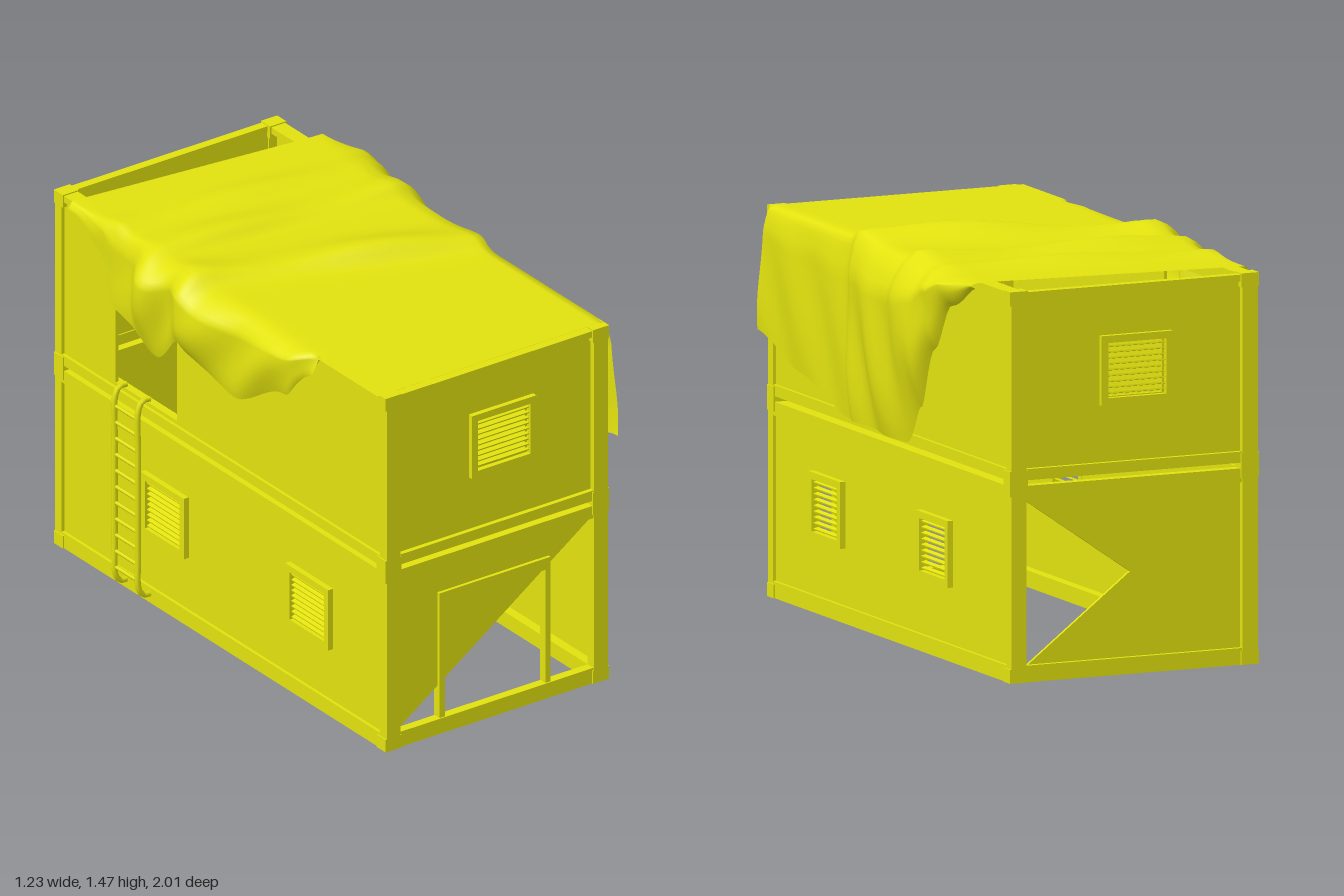
import * as THREE from 'three';

const mat = new THREE.MeshStandardMaterial({ color: 0xe2e20f, side: THREE.DoubleSide });
const XL = -0.5, XR = 0.465, XM = (XL + XR) / 2, W = XR - XL;

function add(parent, geo, name, x = 0, y = 0, z = 0) {
  const m = new THREE.Mesh(geo, mat);
  m.name = name;
  m.position.set(x, y, z);
  parent.add(m);
  return m;
}

// box given by its min and max corners
function block(parent, name, x0, x1, y0, y1, z0, z1) {
  return add(parent, new THREE.BoxGeometry(x1 - x0, y1 - y0, z1 - z0), name,
    (x0 + x1) / 2, (y0 + y1) / 2, (z0 + z1) / 2);
}

// thin sheet from an outline, with rectangular holes [a0, a1, b0, b1]
function panel(parent, name, outline, holes = []) {
  const shape = new THREE.Shape(outline.map(p => new THREE.Vector2(p[0], p[1])));
  for (const [a, b, c, d] of holes) {
    shape.holes.push(new THREE.Path([[a, c], [a, d], [b, d], [b, c]].map(p => new THREE.Vector2(p[0], p[1]))));
  }
  return add(parent, new THREE.ExtrudeGeometry(shape, { depth: 0.012, bevelEnabled: false }), name);
}

const rect = (a, b, c, d) => [[a, c], [b, c], [b, d], [a, d]];

// louvred window, centred on its own origin in the xy plane
function createWindow(w = 0.26, h = 0.24) {
  const g = new THREE.Group();
  g.name = 'window';
  const t = 0.026;
  for (const s of [-1, 1]) {
    add(g, new THREE.BoxGeometry(t, h, 0.035), 'windowJamb', s * (w - t) / 2);
    add(g, new THREE.BoxGeometry(w, t, 0.035), 'windowRail', 0, s * (h - t) / 2);
  }
  const n = 9;
  for (let i = 0; i < n; i++) {
    const slat = add(g, new THREE.BoxGeometry(w - 2 * t, 0.005, 0.018), 'louvre', 0, (i - (n - 1) / 2) * 0.021);
    slat.rotation.x = 0.25;
  }
  return g;
}

const holeOf = (a, b) => [a - 0.105, a + 0.105, b - 0.095, b + 0.095];

// steel frame: posts, beams and corner blocks
function createFrame(name, y0, y1, bottom, top) {
  const g = new THREE.Group();
  g.name = name;
  const t = 0.06;
  for (const x of [XL, XR - t]) {
    for (const z of [-1, 1 - 0.04]) {
      block(g, 'cornerPost', x, x + t, y0, y1, z, z + 0.04);
      for (const y of [y0, y1 - 0.05]) {
        block(g, 'cornerBlock', x - 0.005, x + t + 0.005, y, y + 0.05, z === -1 ? -1 : 0.945, z === -1 ? -0.945 : 1);
      }
    }
    block(g, 'sideBeam', x, x + t, bottom[0], bottom[1], -0.96, 0.96);
    block(g, 'sideBeam', x, x + t, top[0], top[1], -0.96, 0.96);
  }
  for (const z of [-0.995, 0.96]) {
    block(g, 'endBeam', XL + t, XR - t, bottom[0], bottom[1], z, z + 0.035);
    block(g, 'endBeam', XL + t, XR - t, top[0], top[1], z, z + 0.035);
  }
  return g;
}

// piecewise linear lookup with smoothing, table of [z, value]
function lookup(table, z) {
  if (z <= table[0][0]) return table[0][1];
  for (let i = 1; i < table.length; i++) {
    const [a, va] = table[i - 1], [b, vb] = table[i];
    if (z <= b) return va + (vb - va) * THREE.MathUtils.smoothstep(z, a, b);
  }
  return table[table.length - 1][1];
}

// folds crossing the roof on a slant: [z at x = 0, slope, height, front width, back width]
const FOLDS = [[0.06, 0.35, 0.055, 0.05, 0.14], [-0.32, 0.1, 0.04, 0.045, 0.12], [-0.55, 0.13, 0.03, 0.05, 0.1]];
function foldHeight(x, z) {
  let h = 0;
  for (const [c, slope, amp, front, back] of FOLDS) {
    const d = z - c - slope * x;
    h += amp * (0.8 + 0.25 * Math.sin(x * 8 + c * 9)) * Math.exp(-((d / (d > 0 ? front : back)) ** 2));
  }
  return h;
}

const LEFT_DROP = [[-0.85, 0.03], [-0.68, 0.12], [-0.6, 0.3], [-0.3, 0.36], [-0.18, 0.25], [0.15, 0.33], [0.45, 0.2], [0.58, 0.08], [0.62, 0]];
const LEFT_OUT = [[-0.85, 0.01], [-0.5, 0.03], [-0.32, 0.11], [-0.22, 0.07], [-0.1, 0.11], [0.2, 0.07], [0.5, 0.07], [0.6, 0]];
const RIGHT_DROP = [[-0.78, 0.02], [-0.64, 0.1], [-0.55, 0.27], [-0.43, 0.5], [-0.3, 0.65], [0.3, 0.65], [0.65, 0.55], [0.97, 0.45]];
const RIGHT_OUT = [[-0.78, 0.05], [-0.56, 0.13], [-0.2, 0.11], [0.2, 0.06], [0.28, 0.03], [0.97, 0.03]];

// draped sheet: a grid bent over the roof and down both sides
function createCloth() {
  const nu = 72, nv = 110, side = 0.28;
  const geo = new THREE.PlaneGeometry(1, 1, nu, nv);
  const p = geo.attributes.position;
  for (let i = 0; i < p.count; i++) {
    const u = p.getX(i) + 0.5, v = p.getY(i) + 0.5;
    const k = u < side ? 1 - u / side : u > 1 - side ? (u - 1 + side) / side : 0;
    const xTop = THREE.MathUtils.lerp(XL, XR, THREE.MathUtils.clamp((u - side) / (1 - 2 * side), 0, 1));
    const back = -0.835 + 0.1 * xTop;
    let z = THREE.MathUtils.lerp(0.97, back, v);
    const right = u > 0.5;
    const drop = lookup(right ? RIGHT_DROP : LEFT_DROP, z);
    const out = lookup(right ? RIGHT_OUT : LEFT_OUT, z);
    const fold = foldHeight(xTop, z);
    // hanging sides bulge out at the top and tuck in at the hem
    const bulge = Math.sqrt(Math.min(1, k * 5)) * (1 - 0.55 * k ** 3);
    const ripple = Math.sin(k * Math.PI * 0.8) * 0.014 * Math.sin((z + k * 0.25) * 17) * Math.min(1, drop * 3);
    const amount = out * bulge + k * 0.02 + ripple * (out > 0.04 ? 1 : 0.5) + (k > 0 ? fold * 0.35 * Math.min(1, k * 4) * (1 - k) : 0);
    const x = k === 0 ? xTop : right ? XR + Math.max(0.006, amount) : XL - Math.max(0.004, amount);
    const y = 1.408 + fold * Math.max(0, 1 - k * 2) - drop * k;
    if (right) {
      z += k * 0.03 * THREE.MathUtils.smoothstep(z, 0.7, 0.97) - k * 0.02 * Math.sin(z * 6);
    }
    p.setXYZ(i, x, y, z);
  }
  geo.computeVertexNormals();
  return add(new THREE.Group(), geo, 'drapedCloth');
}

function createLadder() {
  const g = new THREE.Group();
  g.name = 'ladder';
  const path = [[-0.5, 0.81], [-0.53, 0.81], [-0.548, 0.78], [-0.55, 0.6], [-0.55, 0.2], [-0.548, 0.07], [-0.53, 0.04], [-0.5, 0.035]];
  for (const z of [-0.57, -0.43]) {
    const curve = new THREE.CatmullRomCurve3(path.map(([x, y]) => new THREE.Vector3(x, y, z)));
    add(g, new THREE.TubeGeometry(curve, 40, 0.011, 8), 'ladderRail');
  }
  for (let i = 0; i < 11; i++) {
    const rung = add(g, new THREE.CylinderGeometry(0.007, 0.007, 0.14, 8), 'ladderRung', -0.55, 0.1 + i * 0.064, -0.5);
    rung.rotation.x = Math.PI / 2;
  }
  return g;
}

export function createModel() {
  const root = new THREE.Group();
  root.name = 'stackedContainers';
  root.add(createFrame('lowerFrame', 0, 0.72, [0, 0.06], [0.655, 0.705]));
  root.add(createFrame('upperFrame', 0.71, 1.405, [0.725, 0.765], [1.375, 1.4]));

  const a = XL + 0.05, b = XR - 0.05;
  // end walls: upper ones with a window, lower ones partly open
  for (const [z, wx, s] of [[0.965, 0.015, 1], [-0.977, -0.03, -1]]) {
    panel(root, 'upperEndWall', rect(a, b, 0.74, 1.39), [holeOf(wx, 1.095)]).position.z = z;
    const win = createWindow(0.28, 0.25);
    win.position.set(wx, 1.095, z + 0.006 + s * 0.008);
    root.add(win);
  }
  panel(root, 'lowerFrontWall', [[-0.44, 0.06], [0.42, 0.66], [-0.44, 0.68]]).position.z = 0.965;
  panel(root, 'lowerBackWall', [[a, 0.04], [b, 0.04], [-0.01, 0.365], [b, 0.66], [a, 0.68]]).position.z = -0.977;

  // front door frame
  const door = new THREE.Group();
  door.name = 'doorFrame';
  for (const x of [-0.262, 0.2]) block(door, 'doorJamb', x, x + 0.022, 0.06, 0.555, 0.955, 0.99);
  block(door, 'doorHead', -0.262, 0.222, 0.51, 0.555, 0.955, 0.99);
  root.add(door);

  // long walls, drawn with z as the horizontal direction
  for (const [x, s, wins] of [[XR - 0.012, 1, [0.52, -0.365]], [XL + 0.024, -1, [0.53, -0.34]]]) {
    const lower = panel(root, 'lowerSideWall', rect(-0.97, 0.97, 0.04, 0.68), wins.map(z => holeOf(z, 0.385)));
    const doorway = s < 0 ? [[-0.65, -0.28, 0.78, 1.33]] : [];
    const upper = panel(root, 'upperSideWall', rect(-0.97, 0.97, 0.745, 1.39), doorway);
    for (const wall of [lower, upper]) {
      wall.rotation.y = -Math.PI / 2;
      wall.position.x = x;
    }
    for (const z of wins) {
      const win = createWindow();
      win.rotation.y = s * Math.PI / 2;
      win.position.set(x - 0.006 + s * 0.01, 0.385, z);
      root.add(win);
    }
  }

  root.add(createLadder(), createCloth());
  return root;
}
